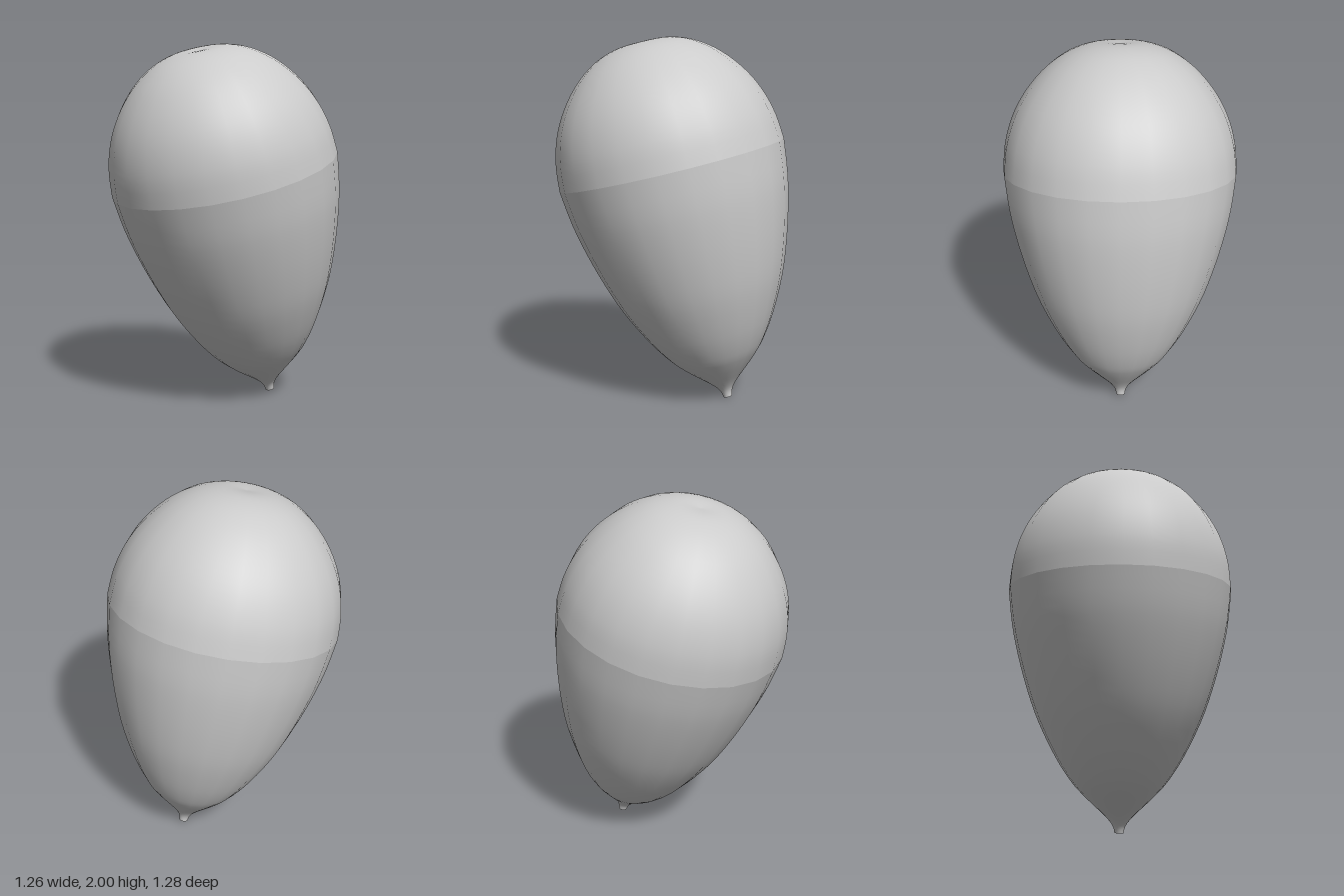
import * as THREE from 'three';

const SIDES = 24;

export function createModel() {
  const model = new THREE.Group();
  model.name = 'tiltedBulb';
  const material = new THREE.MeshStandardMaterial({ color: 0xcccccc });

  // Revolves a smooth curve through [radius, height] points, bottom to top
  const revolve = (name, profile, steps) => {
    const curve = new THREE.SplineCurve(profile.map(([r, y]) => new THREE.Vector2(r, y)));
    const mesh = new THREE.Mesh(new THREE.LatheGeometry(curve.getPoints(steps), SIDES), material);
    mesh.name = name;
    return mesh;
  };

  // Both halves meet at a sharp seam at height 0 of the leaning axis
  const bulb = new THREE.Group();
  bulb.name = 'bulb';
  bulb.position.set(0, 1.31, 0.005);
  bulb.rotation.x = THREE.MathUtils.degToRad(14.7);
  model.add(bulb);

  // Tapering lower body with a small flared tip
  bulb.add(revolve('lowerBody', [
    [0.025, -1.344], [0.031, -1.315], [0.048, -1.285], [0.085, -1.245],
    [0.145, -1.19], [0.208, -1.13], [0.27, -1.06], [0.355, -0.93],
    [0.45, -0.74], [0.516, -0.56], [0.57, -0.37], [0.608, -0.19], [0.63, 0],
  ], 36));

  // Flat end of the tip
  const tipEnd = new THREE.Mesh(new THREE.CircleGeometry(0.025, SIDES), material);
  tipEnd.name = 'tipEnd';
  tipEnd.position.y = -1.344;
  tipEnd.rotation.x = Math.PI / 2;
  bulb.add(tipEnd);

  // Rounded cap with a very shallow dimple at the pole
  bulb.add(revolve('upperCap', [
    [0.63, 0], [0.618, 0.13], [0.588, 0.25], [0.54, 0.36], [0.47, 0.465],
    [0.38, 0.56], [0.275, 0.632], [0.175, 0.67], [0.09, 0.682], [0, 0.675],
  ], 27));

  return model;
}
